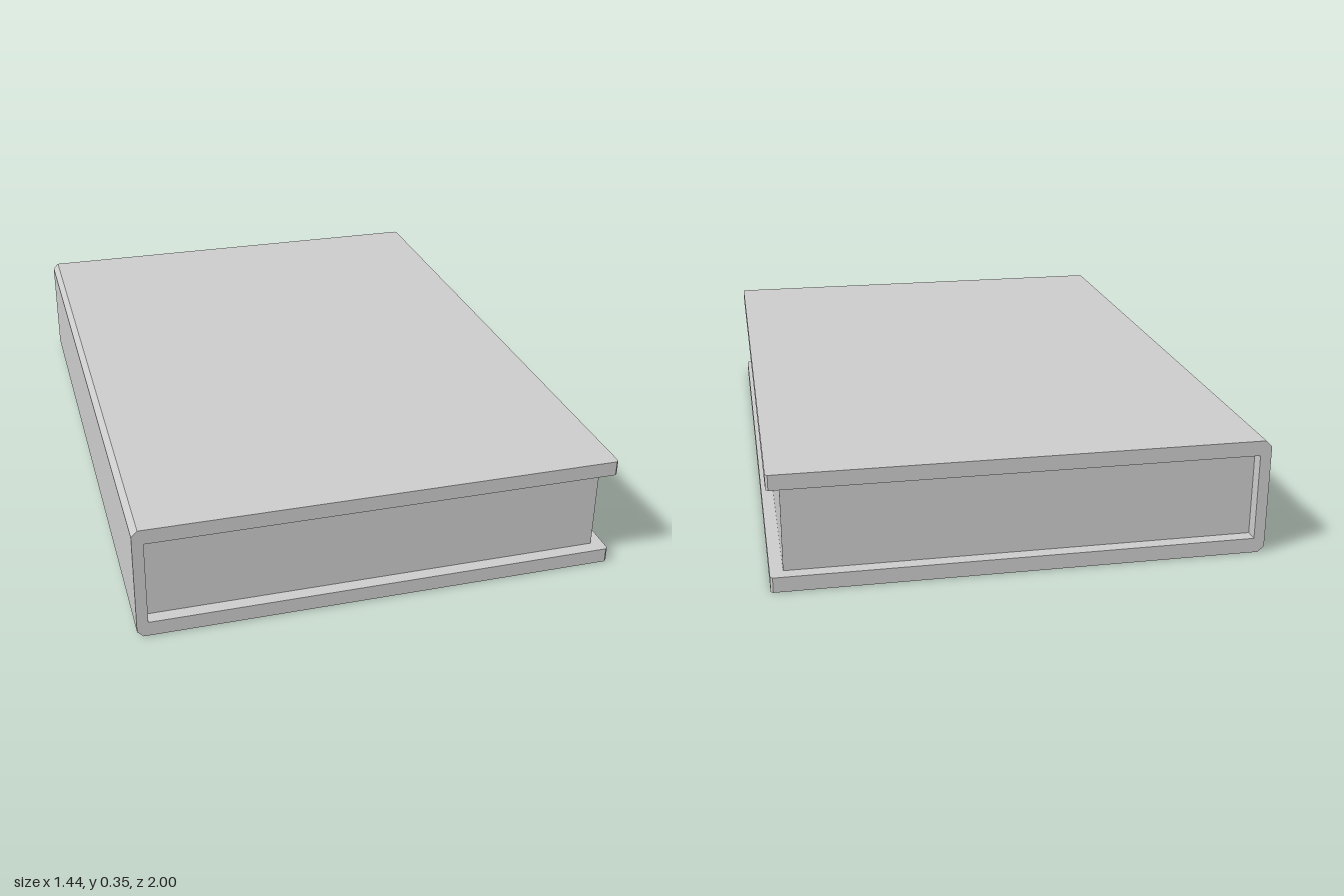
import * as THREE from 'three';

const HALF_W = 0.72, HEIGHT = 0.35, HALF_L = 1;
const BOARD = 0.045, SPINE = 0.033, BEVEL = 0.018, CLIP = 0.007;

// C-shaped cover section, swept along z, with the free board corners clipped
function coverGeometry() {
  const inner = -HALF_W + SPINE;
  const shape = new THREE.Shape([
    [-HALF_W + BEVEL, 0], [HALF_W, 0], [HALF_W, BOARD], [inner, BOARD],
    [inner, HEIGHT - BOARD], [HALF_W, HEIGHT - BOARD], [HALF_W, HEIGHT],
    [-HALF_W + BEVEL, HEIGHT], [-HALF_W, HEIGHT - BEVEL], [-HALF_W, BEVEL],
  ].map(([x, y]) => new THREE.Vector2(x, y)));
  const geometry = new THREE.ExtrudeGeometry(shape, { depth: 2 * HALF_L, steps: 3, bevelEnabled: false });
  geometry.translate(0, 0, -HALF_L);

  // Slide the two middle rings out to the ends, then pull in the end corners
  const p = geometry.attributes.position;
  for (let i = 0; i < p.count; i++) {
    const z = p.getZ(i);
    if (Math.abs(z) < HALF_L * 0.9) p.setZ(i, Math.sign(z) * (HALF_L - CLIP));
    else if (p.getX(i) > HALF_W - 0.001) p.setX(i, HALF_W - CLIP);
  }
  geometry.computeVertexNormals();
  return geometry;
}

export function createModel() {
  const group = new THREE.Group();
  group.name = 'book';
  const material = new THREE.MeshStandardMaterial({ color: 0xcccccc, flatShading: true });

  const cover = new THREE.Mesh(coverGeometry(), material);
  cover.name = 'cover';
  group.add(cover);

  // Page block, set back from the board edges
  const left = -HALF_W + SPINE, right = 0.682;
  const pages = new THREE.Mesh(new THREE.BoxGeometry(right - left, HEIGHT - 2 * BOARD, 1.92), material);
  pages.name = 'pages';
  pages.position.set((left + right) / 2, HEIGHT / 2, 0);
  group.add(pages);

  return group;
}
